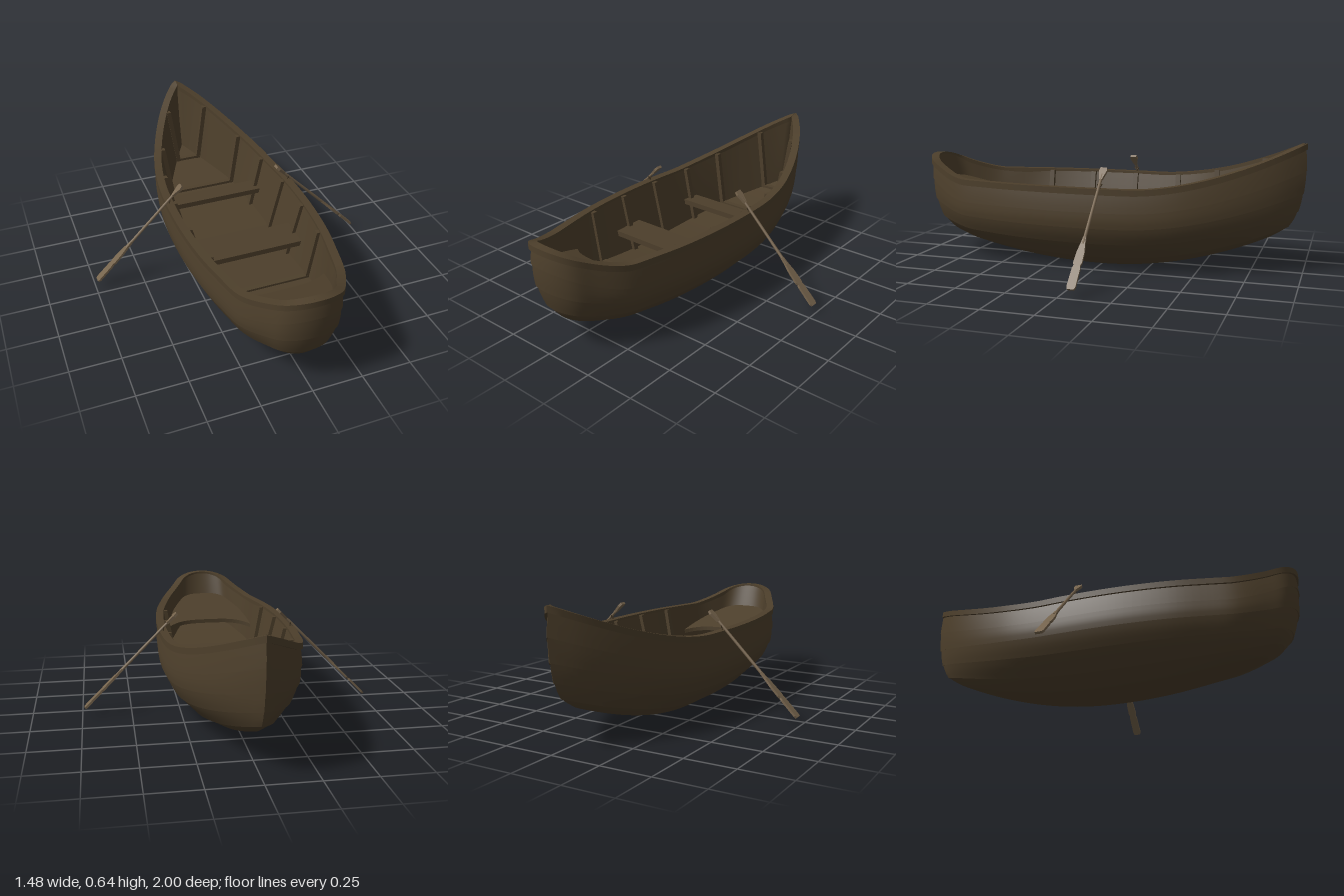
import * as THREE from 'three';

const wood = new THREE.MeshStandardMaterial({ color: 0x4d3f2b, side: THREE.DoubleSide });
const oarWood = new THREE.MeshStandardMaterial({ color: 0x75634c });

// Plank lines from bottom to sheer: [mid y, half breadth, stern y, stern z, bow y, bow z]
const LEVELS = [
  [0.0, 0.11, 0.10, 0.82, 0.17, 0.83],
  [0.06, 0.205, 0.15, 0.895, 0.23, 0.92],
  [0.145, 0.29, 0.21, 0.945, 0.31, 0.965],
  [0.23, 0.333, 0.315, 0.98, 0.40, 0.987],
  [0.31, 0.342, 0.43, 0.992, 0.51, 0.998],
  [0.425, 0.332, 0.53, 0.986, 0.64, 0.99],
];
const TOP = LEVELS.length - 1;
const columns = LEVELS[0].map((_, j) => new THREE.SplineCurve(LEVELS.map((l, i) => new THREE.Vector2(i, l[j]))));

// Unit sheer outline and floor outline, stern to bow
const HALF = [[0, 1], [0.23, 0.985], [0.4, 0.945], [0.52, 0.88], [0.73, 0.74], [0.83, 0.6], [0.93, 0.42],
  [0.99, 0.2], [1, 0], [0.97, -0.2], [0.88, -0.4], [0.74, -0.56], [0.53, -0.73], [0.28, -0.88], [0, -1]];
const FLOOR = [[0, 0.88], [0.06, 0.875], [0.12, 0.85], [0.155, 0.8], [0.188, 0.72], [0.227, 0.6], [0.237, 0.42],
  [0.237, 0.2], [0.237, 0], [0.233, -0.2], [0.212, -0.4], [0.177, -0.56], [0.1, -0.73], [0.035, -0.85], [0, -0.91]];

// Mirrors a half outline into one line from bow round the stern to bow
const N = 140;
const outline = (half) => new THREE.CatmullRomCurve3(
  [...half.slice(1).reverse().map(([x, z]) => [-x, z]), ...half].map(([x, z]) => new THREE.Vector3(x, 0, z))).getPoints(N);
const planPts = outline(HALF);

// A plank line at (fractional) level k, pushed outwards by d and up by dy
function ring(k, d = 0, dy = 0) {
  const w = k / TOP;
  const [ym, b, ys, zs, yb, zb] = columns.map((c) => c.getPoint(w).y);
  const pts = planPts.map((p) => {
    const t = Math.min(Math.abs(p.z), 1), stern = p.z > 0;
    const high = stern ? Math.max(0, (t - 0.7) / 0.3) ** 1.6 : Math.max(0, (t - 0.2) / 0.8) ** 1.8;
    const f = THREE.MathUtils.lerp(t * t, high, stern ? Math.min(1, w * 1.4) : w);
    return new THREE.Vector3(p.x * b, ym + ((stern ? ys : yb) - ym) * f + dy, p.z * (stern ? zs : zb));
  });
  return pts.map((p, i) => {
    const a = pts[Math.max(i - 1, 0)], c = pts[Math.min(i + 1, N)];
    const dx = c.x - a.x, dz = c.z - a.z, l = Math.hypot(dx, dz);
    let x = p.x - (dz / l) * d;
    if (i === 0 || i === N || x * p.x < 0) x = 0;
    return new THREE.Vector3(x, p.y, p.z + (dx / l) * d);
  });
}

// Surface through rows of points
function loft(rows, flip = false) {
  const m = rows[0].length, index = [];
  for (let r = 0; r < rows.length - 1; r++) {
    for (let c = 0; c < m - 1; c++) {
      const a = r * m + c, b = a + 1, d = a + m, e = d + 1;
      index.push(...(flip ? [a, d, b, b, d, e] : [a, b, d, b, e, d]));
    }
  }
  const g = new THREE.BufferGeometry().setFromPoints(rows.flat());
  g.setIndex(index);
  g.computeVertexNormals();
  return g;
}

// Interior walls run straight from the floor edge to the inside of the gunwale
const floorY = (z) => 0.125 + 0.15 * z * z;
const floorRing = outline(FLOOR).map((p) => p.setY(floorY(p.z)));
const wallTop = ring(TOP, -0.022, -0.004);
const innerRows = Array.from({ length: 9 }, (_, i) => floorRing.map((p, j) => p.clone().lerp(wallTop[j], i / 8)));

// Interior cross-section at a given z, floor to rail
function section(z) {
  const out = [];
  for (const row of innerRows) {
    for (let i = N / 2; i < N; i++) {
      const a = row[i], b = row[i + 1];
      if (a.z >= z && b.z < z) {
        const p = a.clone().lerp(b, (a.z - z) / (a.z - b.z));
        out.push([p.x, p.y]);
        break;
      }
    }
  }
  return out;
}
function halfWidth(y, z) {
  const s = section(z);
  for (let i = 0; i < s.length - 1; i++) {
    const [x0, y0] = s[i], [x1, y1] = s[i + 1];
    if (y0 <= y && y1 > y) return x0 + ((x1 - x0) * (y - y0)) / (y1 - y0);
  }
  return 0;
}

// Extruded symmetrical shape from its right-hand edge
function mirrored(edge, depth) {
  const all = [...edge, ...edge.slice().reverse().map(([x, y]) => [-x, y])];
  const shape = new THREE.Shape(all.map(([x, y]) => new THREE.Vector2(x, y)));
  return new THREE.ExtrudeGeometry(shape, { depth, bevelEnabled: false });
}

export function createModel() {
  const boat = new THREE.Group();
  boat.name = 'rowingBoat';
  const add = (name, geometry, material = wood, parent = boat) => {
    const mesh = new THREE.Mesh(geometry, material);
    mesh.name = name;
    parent.add(mesh);
    return mesh;
  };
  // Horizontal board from its right-hand edge in x and z
  const slab = (name, top, thick, edge) =>
    add(name, mirrored(edge.map(([x, z]) => [x, -z]), thick).rotateX(-Math.PI / 2).translate(0, top - thick, 0));

  // Bottom and overlapping planks, each plank with a small lower lip
  for (let k = 0; k < TOP; k++) {
    const low = k ? ring(k, 0.0055, -0.003) : ring(0);
    const start = k ? [low] : [low.map((p) => new THREE.Vector3(0, p.y, p.z)), low];
    const lap = [0.25, 0.5, 0.75].map((s) => ring(k + s, k && 0.0055 * (1 - s)));
    add(k ? 'plank' : 'bottom', loft([...start, ...lap, ring(k + 1)]));
    if (k) add('plankLip', loft([ring(k), low]));
  }

  // Gunwale, a rectangular rail round the sheer
  const rail = [[0.016, -0.03], [0.016, 0], [-0.024, 0], [-0.024, -0.03]].map(([d, dy]) => ring(TOP, d, dy));
  rail.forEach((row, i) => add('gunwale', loft([row, rail[(i + 1) % 4]])));

  // Inner walls and floor
  add('innerWall', loft(innerRows, true));
  const floorSide = floorRing.slice(N / 2);
  add('floor', loft([floorSide.map((p) => new THREE.Vector3(-p.x, p.y, p.z)), floorSide], true));

  // Ribs up both sides, joined by floor battens except under the thwarts
  for (const [z, batten] of [[-0.79, true], [-0.53, true], [-0.31, false], [-0.065, true], [0.18, false], [0.42, true]]) {
    const s = section(z);
    if (batten) {
      add('floorBatten', new THREE.BoxGeometry(2 * s[0][0], 0.014, 0.028)).position.set(0, floorY(z) + 0.006, z);
    }
    for (const m of [-1, 1]) {
      const pts = [...s.map(([x, y]) => [x + 0.004, y]), ...s.slice().reverse().map(([x, y]) => [x - 0.02, y])];
      const shape = new THREE.Shape(pts.map(([x, y]) => new THREE.Vector2(m * x, y - 0.004)));
      const g = new THREE.ExtrudeGeometry(shape, { depth: 0.026, bevelEnabled: false });
      add(m > 0 ? 'leftRib' : 'rightRib', g.translate(0, 0, z - 0.013));
    }
  }

  // Thwarts
  for (const [z0, z1] of [[-0.36, -0.265], [0.1, 0.27]]) {
    slab('thwart', 0.258, 0.028, [z0, (z0 + z1) / 2, z1].map((z) => [halfWidth(0.25, z) + 0.003, z]));
  }

  // Stern bench with a hollowed front edge, sloping up towards the stern
  const benchY = (z) => 0.28 + 0.34 * (z - 0.57), bench = [];
  const w0 = halfWidth(benchY(0.57), 0.57);
  for (let i = 0; i <= 12; i++) bench.push([(w0 * i) / 12, 0.635 - 0.065 * (i / 12) ** 3.5]);
  for (let i = 1; i <= 40; i++) {
    const z = 0.57 + 0.37 * Math.sin((i / 40) * Math.PI / 2), w = halfWidth(benchY(z), z);
    if (w > 0) bench.push([w + 0.003, z]);
  }
  const benchPos = slab('sternBench', 0, 0.022, bench).geometry.attributes.position;
  for (let i = 0; i < benchPos.count; i++) benchPos.setY(i, benchPos.getY(i) + benchY(benchPos.getZ(i)));
  boat.getObjectByName('sternBench').geometry.computeVertexNormals();

  // Oars and rowlocks
  const half = 0.337;
  const bladeEdge = [[0.007, -0.06], [0.010, -0.09], [0.019, -0.145], [0.021, -0.2], [0.016, -0.215],
    [0.02, -0.23], [0.021, -0.325], [0.016, -half]];
  const gripEdge = [[0.016, half], [0.02, half - 0.02], [0.012, half - 0.05], [0.007, half - 0.07]];
  const flat = (edge, depth) => mirrored(edge, depth).translate(0, 0, -depth / 2).rotateY(Math.PI / 2);
  for (const m of [-1, 1]) {
    const oar = new THREE.Group();
    oar.name = m > 0 ? 'leftOar' : 'rightOar';
    add('shaft', new THREE.CylinderGeometry(0.007, 0.008, 0.4, 10).translate(0, 0.1, 0), oarWood, oar);
    add('blade', flat(bladeEdge, 0.011), oarWood, oar);
    add('grip', flat(gripEdge, 0.013), oarWood, oar);
    oar.position.set(m * 0.497, 0.277, -0.06);
    oar.rotation.z = m * Math.PI / 4;
    boat.add(oar);

    const lock = new THREE.Group();
    lock.name = m > 0 ? 'leftRowlock' : 'rightRowlock';
    add('rowlockFork', new THREE.TorusGeometry(0.011, 0.003, 6, 12, Math.PI).rotateZ(Math.PI).rotateY(Math.PI / 2), wood, lock);
    add('rowlockPin', new THREE.CylinderGeometry(0.004, 0.004, 0.03, 8).translate(0, -0.024, 0), wood, lock);
    lock.position.set(m * 0.328, 0.447, -0.06);
    boat.add(lock);
  }
  return boat;
}
